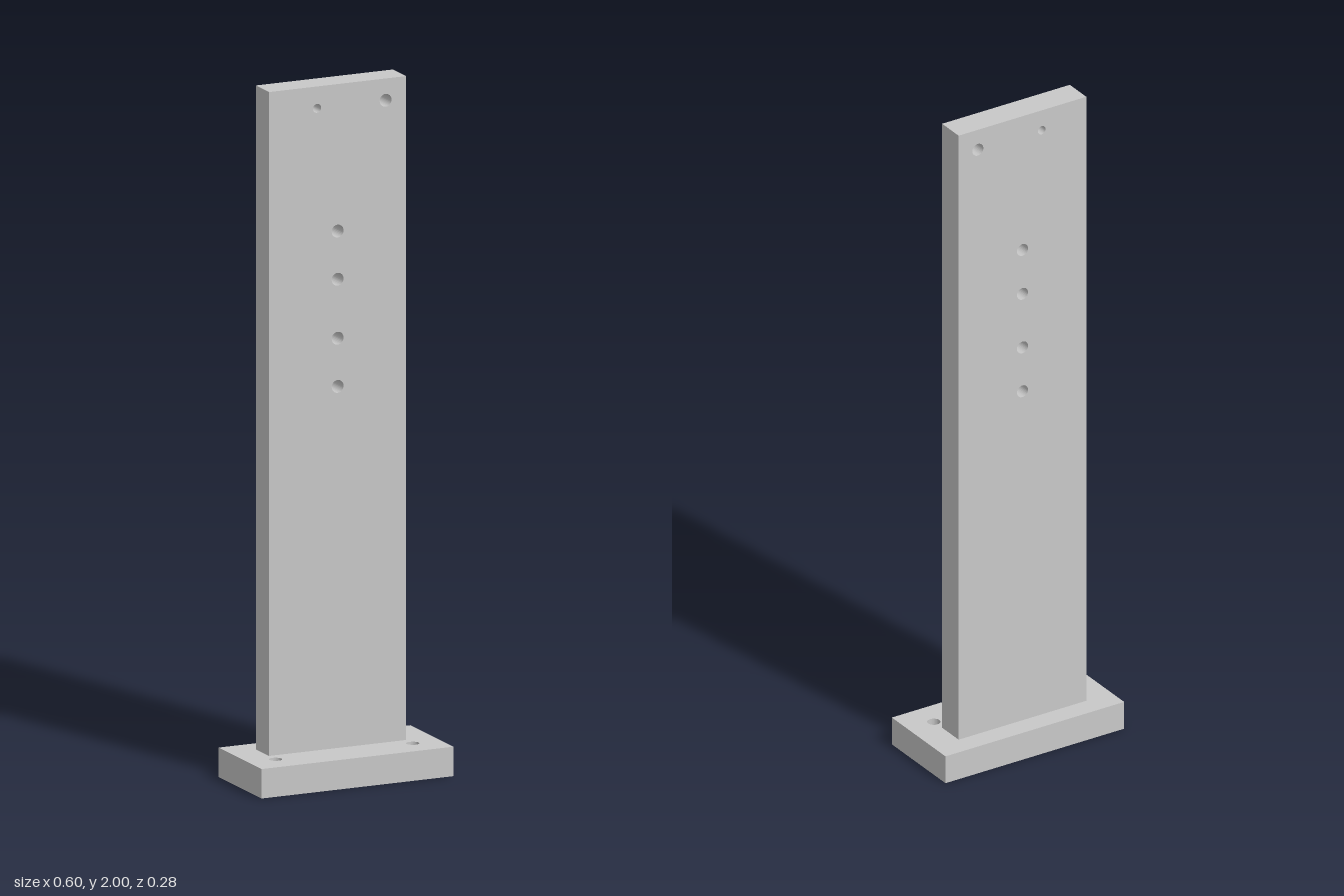
import * as THREE from 'three';

// Rectangular slab in the xy plane with round through-holes [x, y, radius], extruded along +z
function drilledSlab(x0, x1, y0, y1, depth, holes) {
  const shape = new THREE.Shape([
    new THREE.Vector2(x0, y0), new THREE.Vector2(x1, y0),
    new THREE.Vector2(x1, y1), new THREE.Vector2(x0, y1),
  ]);
  for (const [x, y, r] of holes) {
    shape.holes.push(new THREE.Path().absarc(x, y, r, 0, Math.PI * 2, true));
  }
  return new THREE.ExtrudeGeometry(shape, { depth, bevelEnabled: false, curveSegments: 16 });
}

export function createModel() {
  const group = new THREE.Group();
  const grey = new THREE.MeshStandardMaterial({ color: 0xc8c8c8 });
  grey.name = 'light grey metal';

  const baseHeight = 0.085;
  const holeR = 0.0185;

  // Base plate with two mounting holes near the front edge
  const baseGeometry = drilledSlab(-0.298, 0.298, -0.138, 0.138, baseHeight, [
    [-0.213, -0.053, holeR], [0.213, -0.053, holeR],
  ]).rotateX(-Math.PI / 2);
  const base = new THREE.Mesh(baseGeometry, grey);
  base.name = 'basePlate';
  group.add(base);

  // Upright plate: two holes at the top, four down the centre line
  const uprightHoles = [[-0.064, 1.937, 0.0128], [0.149, 1.937, holeR]];
  for (const y of [1.576, 1.437, 1.267, 1.128]) uprightHoles.push([0, y, holeR]);
  const upright = new THREE.Mesh(
    drilledSlab(-0.213, 0.213, baseHeight, 2, 0.085, uprightHoles), grey);
  upright.name = 'uprightPlate';
  upright.position.z = -0.0745;
  group.add(upright);

  return group;
}
